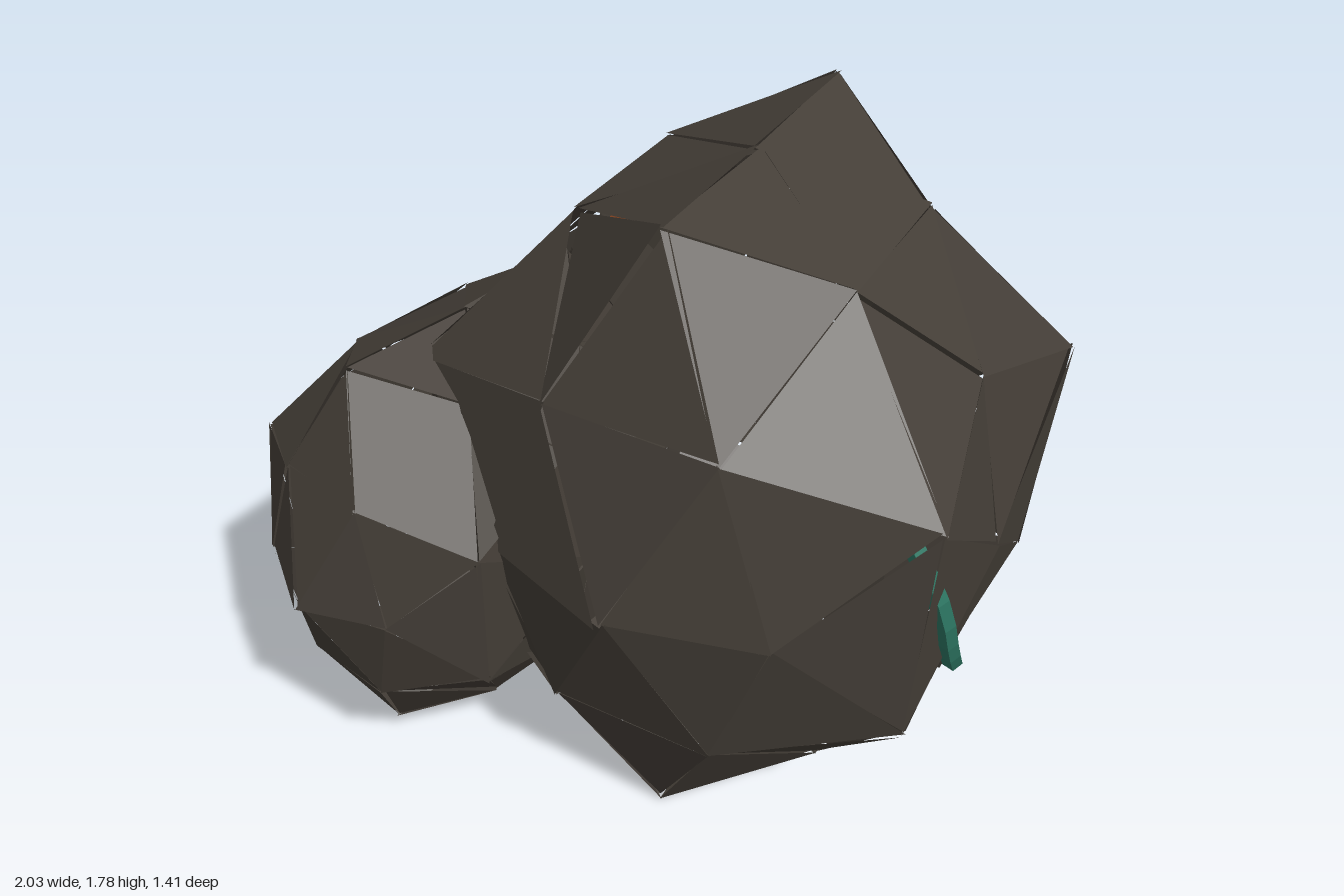
import * as THREE from 'three';

// Small seeded generator for the cracked seams
function seeded(seed) {
  let s = seed;
  return () => {
    s = (s * 16807) % 2147483647;
    return s / 2147483647 - 0.5;
  };
}

// Double sided, because the split seams open onto the inside of the shell
const rockMaterial = new THREE.MeshStandardMaterial({
  color: 0x443e37, flatShading: true, side: THREE.DoubleSide,
});

// Faceted boulder: bulges in two bands at |x| = 0.52 (stronger above the middle),
// with facets slightly split apart
function boulder(name, scale, turn, position, seed) {
  const rand = seeded(seed);
  const geometry = new THREE.IcosahedronGeometry(1, 1);
  const p = geometry.attributes.position;
  const v = new THREE.Vector3();
  for (let i = 0; i < p.count; i++) {
    v.fromBufferAttribute(p, i);
    const reach = Math.abs(v.x);
    const bulge = Math.exp(-Math.pow((reach - 0.52) / 0.1, 2));
    v.multiplyScalar(0.68 + 0.035 * reach + bulge * (0.113 + 0.027 * Math.sin(3.7 * v.y)));
    v.x += rand() * 0.018;
    v.y += rand() * 0.018;
    v.z += rand() * 0.018;
    p.setXYZ(i, v.x * scale[0], v.y * scale[1], v.z * scale[2]);
  }
  geometry.computeVertexNormals();
  const mesh = new THREE.Mesh(geometry, rockMaterial);
  mesh.name = name;
  mesh.rotation.y = turn;
  mesh.position.set(...position);
  return mesh;
}

// Mineral vein: a thin faceted tube half sunk into the rock
function vein(name, color, points) {
  const curve = new THREE.CatmullRomCurve3(points.map((q) => new THREE.Vector3(...q)));
  const material = new THREE.MeshStandardMaterial({ color, flatShading: true, side: THREE.DoubleSide });
  const mesh = new THREE.Mesh(new THREE.TubeGeometry(curve, 10, 0.026, 5), material);
  mesh.name = name;
  return mesh;
}

export function createModel() {
  const group = new THREE.Group();
  group.name = 'boulders';
  group.add(
    boulder('largeBoulder', [1, 1.28, 1], 1.2, [0.225, 0.9, 0.01], 71),
    boulder('smallBoulder', [0.86, 0.855, 0.6], 0.98, [-0.482, 0.695, 0], 305),
    vein('greenVein', 0x2f7a66, [
      [0.48, 1.4, 0.48], [0.58, 1.24, 0.53], [0.71, 0.99, 0.56], [0.76, 0.76, 0.48], [0.79, 0.57, 0.33],
    ]),
    vein('orangeVein', 0x9a5028, [
      [-0.16, 1.32, -0.43], [-0.27, 1.18, -0.46], [-0.31, 1.04, -0.43], [-0.32, 0.9, -0.34],
    ]),
  );
  return group;
}
